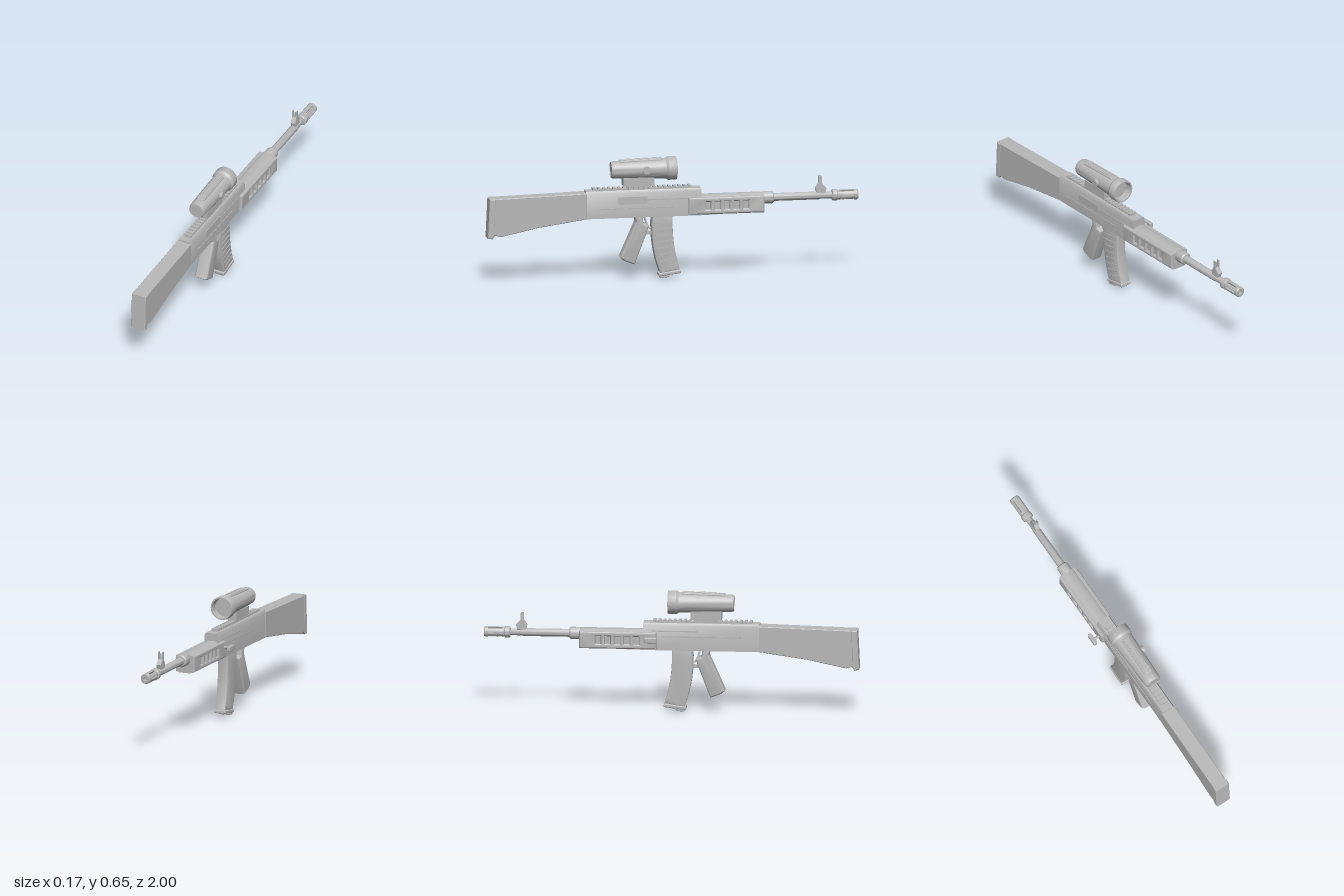
import * as THREE from 'three';
import { toCreasedNormals } from 'three/addons/utils/BufferGeometryUtils.js';
import { RoundedBoxGeometry } from 'three/addons/geometries/RoundedBoxGeometry.js';

const CX = 0.021; // centre plane of the body
const BARREL_Y = 0.412;

export function createModel() {
  const model = new THREE.Group();
  model.name = 'model';
  const grey = new THREE.MeshStandardMaterial({ color: 0xb8b8b8 });
  grey.name = 'grey';

  const add = (name, geometry, x = 0, y = 0, z = 0) => {
    const mesh = new THREE.Mesh(geometry, grey);
    mesh.name = name;
    mesh.position.set(x, y, z);
    model.add(mesh);
    return mesh;
  };
  const box = (name, w, h, d, x, y, z) => add(name, new THREE.BoxGeometry(w, h, d), x, y, z);
  const rounded = (name, w, h, d, r, x, y, z) =>
    add(name, new RoundedBoxGeometry(w, h, d, 3, r), x, y, z);
  const poly = (pts) => new THREE.Shape(pts.map(([a, b]) => new THREE.Vector2(a, b)));

  // Side outline in (z, y), extruded to a width along x
  const sideExtrude = (name, shape, width, bevel, x = CX, segments = 1) => {
    const g = new THREE.ExtrudeGeometry(shape, {
      depth: width - 2 * bevel, bevelEnabled: bevel > 0, bevelSize: bevel,
      bevelThickness: bevel, bevelOffset: -bevel, bevelSegments: segments, curveSegments: 8,
    });
    g.translate(0, 0, -(width - 2 * bevel) / 2).rotateY(-Math.PI / 2);
    return add(name, toCreasedNormals(g, 0.5), x);
  };
  // Cross-section in (x, y), extruded from z0 to z1
  const frontExtrude = (name, shape, z0, z1, x = CX, y = 0) => {
    const g = new THREE.ExtrudeGeometry(shape, { depth: z1 - z0, bevelEnabled: false, curveSegments: 8 });
    return add(name, toCreasedNormals(g, 0.5), x, y, z0);
  };
  // Profile of [radius, z], revolved around the z direction
  const lathe = (name, pts, y) => {
    const g = new THREE.LatheGeometry(pts.map(([r, z]) => new THREE.Vector2(r, z)), 32);
    return add(name, toCreasedNormals(g.rotateX(Math.PI / 2), 0.5), CX, y);
  };

  // Stock and butt plate
  sideExtrude('stock', poly([
    [0.465, 0.335], [0.73, 0.297], [0.93, 0.255], [0.97, 0.266], [0.97, 0.46], [0.465, 0.474],
  ]), 0.08, 0.003);
  sideExtrude('buttPlate', poly([
    [0.963, 0.262], [0.975, 0.245], [1.0, 0.247], [0.99, 0.46], [0.958, 0.461],
  ]), 0.084, 0.004);

  // Receiver with chamfered top
  frontExtrude('receiver', poly([
    [-0.039, 0.335], [0.039, 0.335], [0.039, 0.47], [0.032, 0.483], [-0.032, 0.483], [-0.039, 0.47],
  ]), -0.15, 0.47);
  box('ejectionCover', 0.008, 0.04, 0.16, CX + 0.039, 0.428, 0.22);
  box('rightLowerRidge', 0.006, 0.006, 0.4, CX + 0.039, 0.385, 0.2);
  box('rightUpperRidge', 0.006, 0.006, 0.22, CX + 0.039, 0.43, 0.03);
  box('leftLongRidge', 0.006, 0.006, 0.42, CX - 0.039, 0.41, 0.16);
  box('leftUpperRidge', 0.006, 0.006, 0.25, CX - 0.039, 0.44, 0.02);

  // Top rail
  box('railBase', 0.034, 0.01, 0.53, CX, 0.484, 0.165);
  for (let i = 0; i < 20; i++) {
    box('railTooth', 0.042, 0.01, 0.015, CX, 0.491, -0.092 + i * 0.0271);
  }

  // Handguard core with slotted, rounded side panels
  frontExtrude('handguardCore', poly([
    [-0.034, 0.338], [0.034, 0.338], [0.044, 0.35], [0.044, 0.426], [0.03, 0.436],
    [0.018, 0.441], [-0.018, 0.441], [-0.03, 0.436], [-0.044, 0.426], [-0.044, 0.35],
  ]), -0.49, -0.08);
  box('handguardBottomPlate', 0.06, 0.008, 0.16, CX, 0.338, -0.16);
  for (const side of [-1, 1]) {
    const panel = poly([[-0.49, 0.342], [-0.08, 0.342], [-0.08, 0.433], [-0.49, 0.433]]);
    for (let i = 0; i < 5; i++) {
      const z = -0.39 + i * 0.051;
      panel.holes.push(new THREE.Path([
        [z - 0.014, 0.367], [z - 0.014, 0.408], [z + 0.014, 0.408], [z + 0.014, 0.367],
      ].map(([a, b]) => new THREE.Vector2(a, b))));
    }
    sideExtrude('handguardPanel', panel, 0.03, 0.011, CX + side * 0.041, 3);
  }

  // Barrel and collar
  lathe('barrelCollar', [
    [0, -0.545], [0.027, -0.545], [0.033, -0.538], [0.033, -0.495], [0.028, -0.48], [0, -0.48],
  ], BARREL_Y);
  lathe('barrel', [
    [0, -0.9], [0.018, -0.9], [0.018, -0.8], [0.021, -0.79], [0.021, -0.5], [0, -0.5],
  ], BARREL_Y);

  // Muzzle with open slots between bars
  lathe('muzzleRing', [
    [0, -0.905], [0.026, -0.905], [0.026, -0.89], [0.031, -0.887], [0.031, -0.865], [0.026, -0.86], [0, -0.86],
  ], BARREL_Y);
  lathe('muzzleTip', [
    [0.012, -0.978], [0.012, -1.0], [0.024, -1.0], [0.028, -0.994], [0.028, -0.978], [0.012, -0.978],
  ], BARREL_Y);
  lathe('muzzleCore', [[0, -0.98], [0.017, -0.98], [0.017, -0.9], [0, -0.9]], BARREL_Y);
  for (let i = 0; i < 6; i++) {
    const mid = (i + 0.5) * Math.PI / 3;
    const bar = new THREE.Shape();
    bar.absarc(0, 0, 0.028, mid - 0.33, mid + 0.33, false);
    bar.absarc(0, 0, 0.014, mid + 0.33, mid - 0.33, true);
    frontExtrude('muzzleBar', bar, -0.98, -0.9, CX, BARREL_Y);
  }

  // Front sight
  sideExtrude('frontSightBase', poly([
    [-0.83, 0.452], [-0.822, 0.425], [-0.778, 0.425], [-0.77, 0.452], [-0.788, 0.478], [-0.806, 0.478],
  ]), 0.026, 0.002);
  for (const side of [-1, 1]) box('frontSightEar', 0.005, 0.052, 0.016, CX + side * 0.0115, 0.492, -0.797);
  box('frontSightPost', 0.005, 0.04, 0.008, CX, 0.488, -0.797);

  // Curved magazine, ribs on one side, base plate
  const mag = new THREE.Shape();
  mag.moveTo(0.113, 0.345);
  mag.bezierCurveTo(0.12, 0.22, 0.105, 0.12, 0.068, 0.025);
  mag.lineTo(-0.037, 0.045);
  mag.bezierCurveTo(-0.01, 0.13, 0.005, 0.21, 0.002, 0.345);
  mag.closePath();
  sideExtrude('magazine', mag, 0.06, 0.006, CX, 2);
  for (let i = 0; i < 8; i++) {
    const t = i / 7;
    const rib = box('magazineRib', 0.008, 0.007, 0.085, CX + 0.029, 0.3 - t * 0.235,
      0.057 - 0.034 * t * t);
    rib.rotation.x = 0.05 + t * 0.2;
  }
  rounded('magazineBase', 0.064, 0.018, 0.12, 0.005, CX, 0.025, 0.018).rotation.x = 0.12;
  rounded('magazineFoot', 0.056, 0.016, 0.05, 0.004, CX, 0.009, 0.045).rotation.x = 0.12;

  // Grip and trigger
  sideExtrude('grip', poly([
    [0.212, 0.345], [0.2, 0.31], [0.285, 0.118], [0.265, 0.1], [0.207, 0.078], [0.135, 0.265],
    [0.13, 0.288], [0.16, 0.302], [0.165, 0.345],
  ].reverse()), 0.074, 0.013, CX, 3);
  sideExtrude('trigger', poly([
    [0.147, 0.34], [0.133, 0.29], [0.118, 0.265], [0.124, 0.262], [0.142, 0.288], [0.158, 0.34],
  ]), 0.02, 0);
  box('magazineCatch', 0.02, 0.016, 0.04, CX, 0.243, 0.122);

  // Charging handle
  add('chargingShaft', new THREE.CylinderGeometry(0.007, 0.007, 0.09, 16).rotateZ(Math.PI / 2),
    -0.025, 0.402, -0.105);
  rounded('chargingKnob', 0.021, 0.029, 0.065, 0.005, -0.0745, 0.402, -0.108);

  // Scope with hollow front bell
  lathe('scope', [
    [0, 0.02], [0.05, 0.02], [0.054, -0.02], [0.061, -0.02], [0.063, -0.015], [0.063, 0.025],
    [0.055, 0.038], [0.053, 0.08], [0.047, 0.3], [0.046, 0.322], [0.042, 0.332], [0.039, 0.332],
    [0.039, 0.328], [0, 0.328],
  ], 0.59);
  const strip = rounded('scopeTopPlate', 0.046, 0.014, 0.23, 0.004, CX, 0.636, 0.17);
  strip.rotation.x = 0.025;
  for (const side of [-1, 1]) {
    rounded('scopeTopRail', 0.008, 0.008, 0.19, 0.003, CX + side * 0.014, 0.643, 0.16).rotation.x = 0.025;
  }
  add('scopeKnob', new THREE.CylinderGeometry(0.02, 0.02, 0.035, 24).rotateZ(Math.PI / 2),
    0.0675, 0.592, 0.145);

  // Scope mount
  box('mountBlock', 0.066, 0.045, 0.165, CX, 0.526, 0.185);
  box('mountNeck', 0.034, 0.02, 0.12, CX, 0.497, 0.185);
  box('mountClamp', 0.048, 0.008, 0.13, CX, 0.5, 0.185);
  return model;
}
